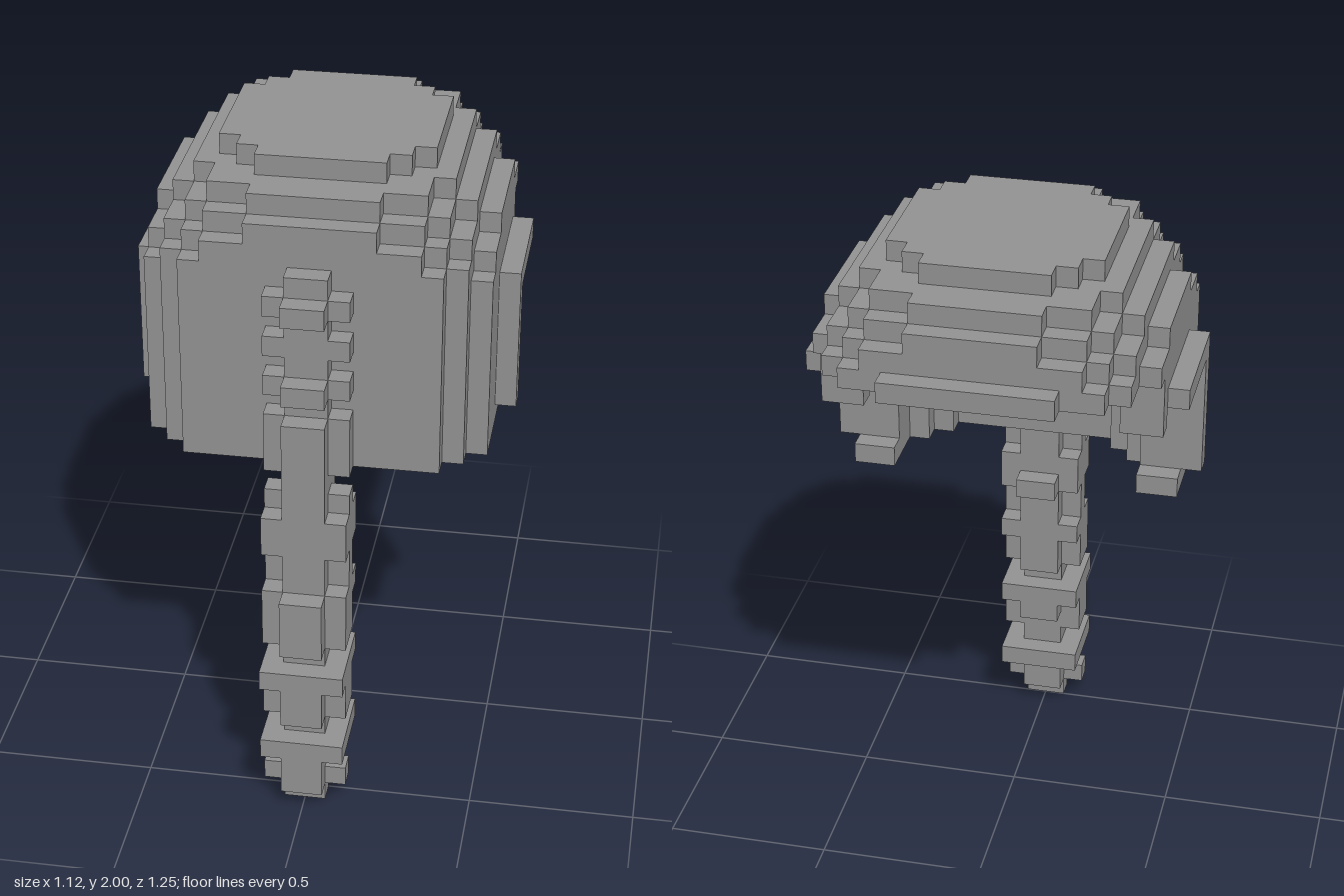
import * as THREE from 'three';

const U = 1 / 16; // edge length of one block
const hair = new THREE.MeshStandardMaterial({ color: 0x949494 });
hair.name = 'hairGrey';

// Builds the exposed faces of all blocks for which filled(x, y, z) is true
function blockGeometry(filled) {
  const positions = [], normals = [];
  for (let x = -10; x < 10; x++) for (let y = 0; y < 32; y++) for (let z = -11; z < 11; z++) {
    if (!filled(x, y, z)) continue;
    for (let axis = 0; axis < 3; axis++) for (const side of [-1, 1]) {
      const n = [0, 0, 0];
      n[axis] = side;
      if (filled(x + n[0], y + n[1], z + n[2])) continue;
      const corner = (u, v) => {
        const p = [x, y, z];
        if (side > 0) p[axis] += 1;
        p[(axis + 1) % 3] += u;
        p[(axis + 2) % 3] += v;
        return p.map(c => c * U);
      };
      const quad = [corner(0, 0), corner(1, 0), corner(1, 1), corner(0, 1)];
      if (side < 0) quad.reverse();
      for (const i of [0, 1, 2, 0, 2, 3]) {
        positions.push(...quad[i]);
        normals.push(...n);
      }
    }
  }
  const g = new THREE.BufferGeometry();
  g.setAttribute('position', new THREE.Float32BufferAttribute(positions, 3));
  g.setAttribute('normal', new THREE.Float32BufferAttribute(normals, 3));
  return g;
}

const inside = (x, half) => x >= -half && x < half;

// Cap outline per level: [half width, z start, z end]
const WALL = [[6, -9, 7], [7, -8, 6], [8, -7, 5]];
const LEVELS = {
  27: [[4, -10, 7], [6, -9, 7], [7, -8, 6], [8, -6, 4]],
  28: [[5, -9, 7], [6, -8, 6], [7, -7, 5], [8, -4, 2]],
  29: [[3, -9, 7], [5, -8, 6], [6, -7, 5], [7, -5, 3]],
  30: [[3, -8, 6], [5, -7, 5], [6, -5, 3]],
  31: [[3, -6, 4], [4, -5, 3], [5, -4, 2]],
};
const solid = (x, y, z) => y < 32 &&
  (LEVELS[y] || WALL).some(([h, a, b]) => inside(x, h) && z >= a && z < b);

// Cavity: blocks lying at least two blocks below the cap's outer surface
function cavity(x, y, z) {
  for (const [dy, r] of [[0, 2], [1, 2], [2, 1]])
    for (let dx = -r; dx <= r; dx++) for (let dz = -r; dz <= r; dz++)
      if (!solid(x + dx, y + dy, z + dz)) return false;
  return true;
}

// Hollow shell, open below and around the face
function cap(x, y, z) {
  if (y < 18 || !solid(x, y, z)) return false;
  if (y === 18 && z < 0) return false;
  if (y > 18 && y < 25 && z < 1 && !(y === 24 && z === -5)) return false;
  if (y < 27 && z < -5) return false;
  return !cavity(x, y, z);
}

// Raised band framing the face on each side
const sideBand = (x, y, z) => (x === 8 || x === -9) && y >= 19 && y < 26 &&
  z < 2 && (z >= 1 || (y === 25 && z >= -4));

// Braid pieces: [half width, y start, y end, z start, z end]
const BRAID = [
  // tip
  [1, 0, 1, 8, 9], [1, 1, 5, 7, 9], [2, 1, 2, 8, 9], [1, 1, 3, 9, 10], [2, 3, 4, 6, 10],
  // lower knots
  [1, 5, 12, 7, 9], [2, 5, 7, 7, 9], [1, 5, 7, 9, 10], [1, 6, 7, 6, 7], [2, 7, 8, 6, 10],
  [2, 9, 12, 7, 9], [1, 9, 12, 9, 10], [2, 11, 12, 6, 9], [1, 9, 11, 6, 7],
  // middle strand
  [1, 12, 18, 6, 9], [2, 12, 14, 7, 8], [2, 14, 16, 6, 9], [2, 16, 17, 7, 8], [1, 14, 15, 5, 6],
  // strand woven over the cap
  [1, 18, 28, 7, 8], [2, 18, 21, 7, 8], [1, 18, 21, 8, 9], [2, 22, 23, 7, 8],
  [1, 22, 23, 8, 9], [2, 24, 25, 7, 8], [2, 26, 27, 7, 8], [1, 26, 27, 8, 9],
];
const braid = (x, y, z) => BRAID.some(([h, y0, y1, z0, z1]) =>
  inside(x, h) && y >= y0 && y < y1 && z >= z0 && z < z1);

export function createModel() {
  const group = new THREE.Group();
  group.name = 'braidedHair';
  for (const [name, filled] of Object.entries({ hairCap: cap, sideBands: sideBand, braid })) {
    const mesh = new THREE.Mesh(blockGeometry(filled), hair);
    mesh.name = name;
    group.add(mesh);
  }
  return group;
}
